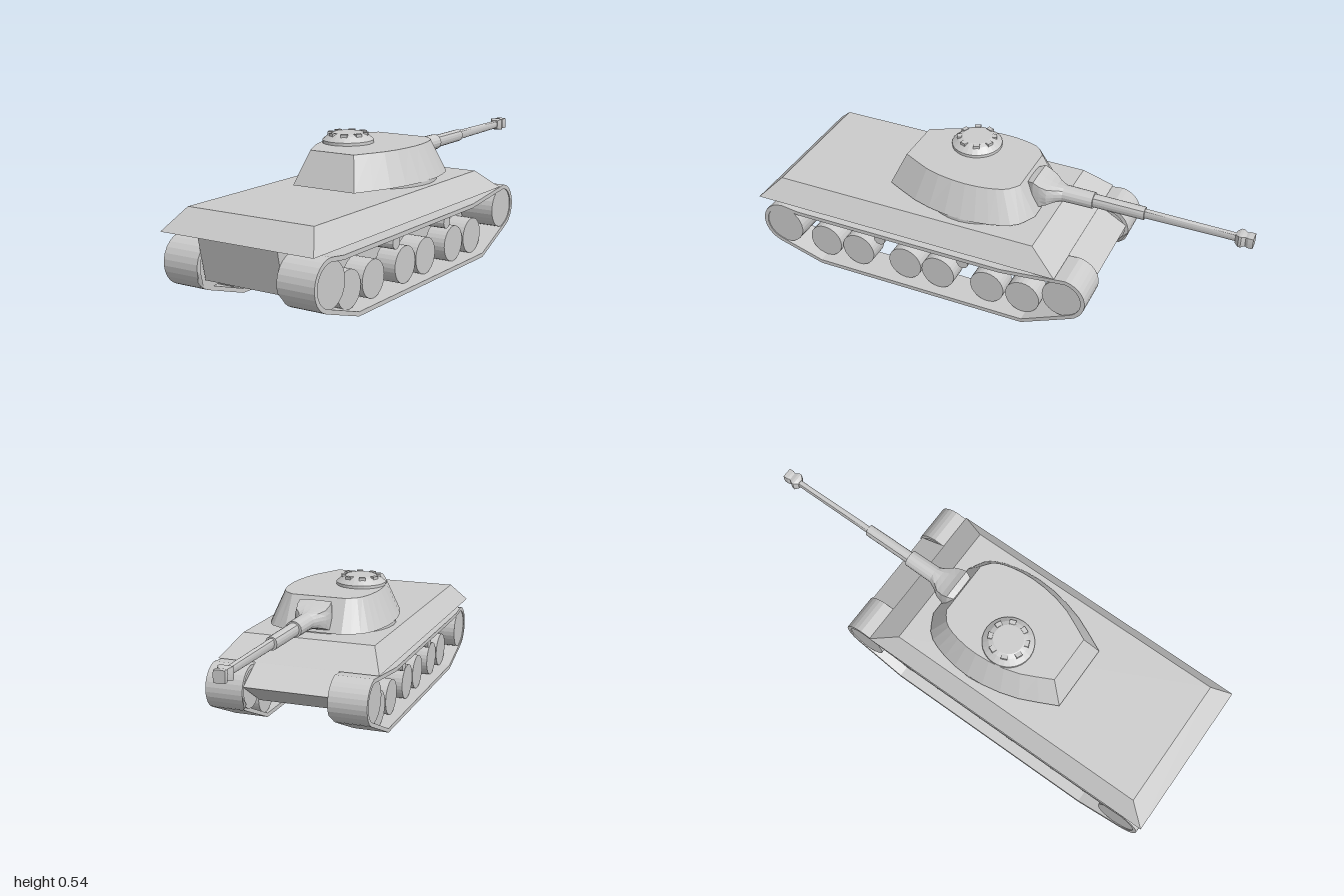
import * as THREE from 'three';

const mat = new THREE.MeshStandardMaterial({ color: 0xcccccc, flatShading: true });

function add(parent, name, geo, x = 0, y = 0, z = 0) {
  const m = new THREE.Mesh(geo, mat);
  m.name = name;
  m.position.set(x, y, z);
  parent.add(m);
  return m;
}

// Closed loft through rings of [x, y, z]; rings run counter-clockwise seen from the last one
function loft(rings) {
  const pos = [], n = rings[0].length;
  const tri = (a, b, c) => pos.push(...a, ...b, ...c);
  const mid = r => [0, 1, 2].map(k => r.reduce((s, p) => s + p[k], 0) / n);
  const first = rings[0], last = rings[rings.length - 1];
  const c0 = mid(first), c1 = mid(last);
  for (let i = 0; i < n; i++) {
    const j = (i + 1) % n;
    for (let r = 0; r + 1 < rings.length; r++) {
      const a = rings[r], b = rings[r + 1];
      tri(a[i], a[j], b[j]);
      tri(a[i], b[j], b[i]);
    }
    tri(c0, first[j], first[i]);
    tri(c1, last[i], last[j]);
  }
  const g = new THREE.BufferGeometry();
  g.setAttribute('position', new THREE.Float32BufferAttribute(pos, 3));
  g.computeVertexNormals();
  return g;
}

// Extrude a (z, y) outline across x from x0 to x1; a hole must run against the outline
function sideExtrude(outline, x0, x1, hole) {
  const shape = new THREE.Shape(outline.map(p => new THREE.Vector2(...p)));
  if (hole) shape.holes.push(new THREE.Path(hole.map(p => new THREE.Vector2(...p))));
  const g = new THREE.ExtrudeGeometry(shape, { depth: x1 - x0, bevelEnabled: false });
  return g.rotateY(-Math.PI / 2).translate(x1, 0, 0);
}

// Wheel-like cylinder lying along x
const axle = (r, x0, x1, sides) =>
  new THREE.CylinderGeometry(r, r, x1 - x0, sides).rotateZ(Math.PI / 2).translate((x0 + x1) / 2, 0, 0);

// Track loop around both end wheels, shrunk inward by t
function trackLoop(t) {
  const pts = [];
  const arc = (z, y, r, from, to) => {
    for (let i = 0; i <= 12; i++) {
      const a = THREE.MathUtils.degToRad(from + (to - from) * i / 12);
      pts.push([z + r * Math.cos(a), y + r * Math.sin(a)]);
    }
  };
  arc(0.895, 0.155, 0.098 - t, 90, -72);
  pts.push([0.73, t], [-0.19, t]);
  arc(-0.36, 0.18, 0.095 - t, -114, -262);
  pts.push([-0.1, 0.243 - t], [0.82, 0.243 - t]);
  return pts;
}

function runningGear(side) {
  const g = new THREE.Group();
  g.name = side > 0 ? 'leftRunningGear' : 'rightRunningGear';
  const span = (a, b) => side > 0 ? [a, b] : [-b, -a];
  const track = sideExtrude(trackLoop(0), ...span(0.187, 0.332), trackLoop(0.017).reverse());
  // The inner edge is a little wider on the upper part of the loop
  const p = track.attributes.position;
  for (let i = 0; i < p.count; i++)
    if (Math.abs(p.getX(i)) < 0.2 && p.getY(i) > 0.12) p.setX(i, side * 0.175);
  add(g, 'track', track);
  add(g, 'idlerWheel', axle(0.086, ...span(0.187, 0.328), 28), 0, 0.155, 0.895);
  add(g, 'driveWheel', axle(0.084, ...span(0.18, 0.328), 28), 0, 0.18, -0.36);
  for (const z of [0.725, 0.57, 0.35, 0.2, -0.02, -0.175])
    add(g, 'roadWheel', axle(0.073, ...span(0.2, 0.287), 28), 0, 0.09, z);
  for (const z of [0.45, 0.075])
    add(g, 'returnRoller', axle(0.025, ...span(0.17, 0.31), 14), 0, 0.2, z);
  return g;
}

// Turret outline: a smooth flank from back to gun side, mirrored across x
function turretRing(flank, y) {
  const curve = new THREE.CatmullRomCurve3(flank.map(([x, z]) => new THREE.Vector3(x, y, z)));
  const half = curve.getPoints(12).map(v => [v.x, y, v.z]);
  return [...half, ...half.slice().reverse().map(([x, h, z]) => [-x, h, z])];
}

// Ring around the gun axis, squared off by k (0 round, 1 square)
function gunRing([w, h, z, k]) {
  return Array.from({ length: 16 }, (_, i) => {
    const a = i / 16 * Math.PI * 2, c = Math.cos(a), s = Math.sin(a);
    const f = Math.pow(Math.max(Math.abs(c), Math.abs(s)), -k);
    return [-c * f * w, 0.43 + s * f * h, z];
  });
}

export function createModel() {
  const model = new THREE.Group();
  model.name = 'tank';

  // Hull
  const rect = (x, y, z0, z1) => [[x, y, z0], [x, y, z1], [-x, y, z1], [-x, y, z0]];
  add(model, 'upperHull', loft([rect(0.336, 0.273, 1.0, -0.327), rect(0.278, 0.356, 0.915, -0.212)]));
  add(model, 'lowerHull', sideExtrude(
    [[0.985, 0.274], [0.95, 0.106], [-0.29, 0.106], [-0.445, 0.206], [-0.327, 0.274]], -0.175, 0.175));

  for (const side of [1, -1]) model.add(runningGear(side));

  // Turret
  const turret = new THREE.Group();
  turret.name = 'turret';
  model.add(turret);
  const ring = new THREE.CylinderGeometry(0.24, 0.24, 0.022, 32).scale(1.045, 1, 0.98);
  add(turret, 'turretRing', ring, 0, 0.362, 0.115);
  add(turret, 'turretBody', loft([
    turretRing([[0.14, 0.475], [0.22, 0.3], [0.252, 0.12], [0.236, -0.02], [0.198, -0.11], [0.12, -0.157]], 0.37),
    turretRing([[0.1, 0.415], [0.168, 0.27], [0.192, 0.12], [0.182, 0.01], [0.158, -0.055], [0.115, -0.09]], 0.501),
  ]));

  // Commander's cupola with a ring of periscopes
  const cupola = new THREE.Group();
  cupola.name = 'cupola';
  cupola.position.set(-0.082, 0.5, 0.185);
  turret.add(cupola);
  const profile = [[0, -0.005], [0.103, -0.005], [0.103, 0.013], [0.078, 0.034], [0.06, 0.041], [0, 0.041]];
  add(cupola, 'cupolaDome', new THREE.LatheGeometry(profile.map(p => new THREE.Vector2(...p)), 28));
  for (let i = 0; i < 8; i++) {
    const a = (i + 0.5) / 8 * Math.PI * 2;
    const block = add(cupola, 'periscope', new THREE.BoxGeometry(0.026, 0.013, 0.018),
      Math.sin(a) * 0.072, 0.036, Math.cos(a) * 0.072);
    block.rotation.y = a;
  }

  // Gun: flared square mantlet, then a stepped barrel taller than wide, with a muzzle brake
  const gun = new THREE.Group();
  gun.name = 'gun';
  turret.add(gun);
  add(gun, 'mantlet', loft([
    [0.05, 0.05, -0.08, 0.8], [0.07, 0.064, -0.125, 0.9], [0.07, 0.05, -0.15, 0.9], [0.067, 0.04, -0.18, 0.7],
    [0.05, 0.035, -0.205, 0.4], [0.036, 0.034, -0.235, 0], [0.034, 0.033, -0.36, 0],
  ].map(gunRing)));
  add(gun, 'barrel', loft([
    [0.024, 0.027, -0.35, 0.2], [0.023, 0.026, -0.57, 0.2], [0.013, 0.021, -0.57, 0.2], [0.012, 0.018, -0.935, 0.2],
  ].map(gunRing)));
  add(gun, 'muzzleBrake', loft([
    [0.014, 0.02, -0.93, 0.8], [0.029, 0.026, -0.945, 0.8], [0.029, 0.026, -0.955, 0.8],
    [0.018, 0.022, -0.97, 0.8], [0.023, 0.024, -0.98, 0.8], [0.023, 0.024, -1, 0.8],
  ].map(gunRing)));

  return model;
}
